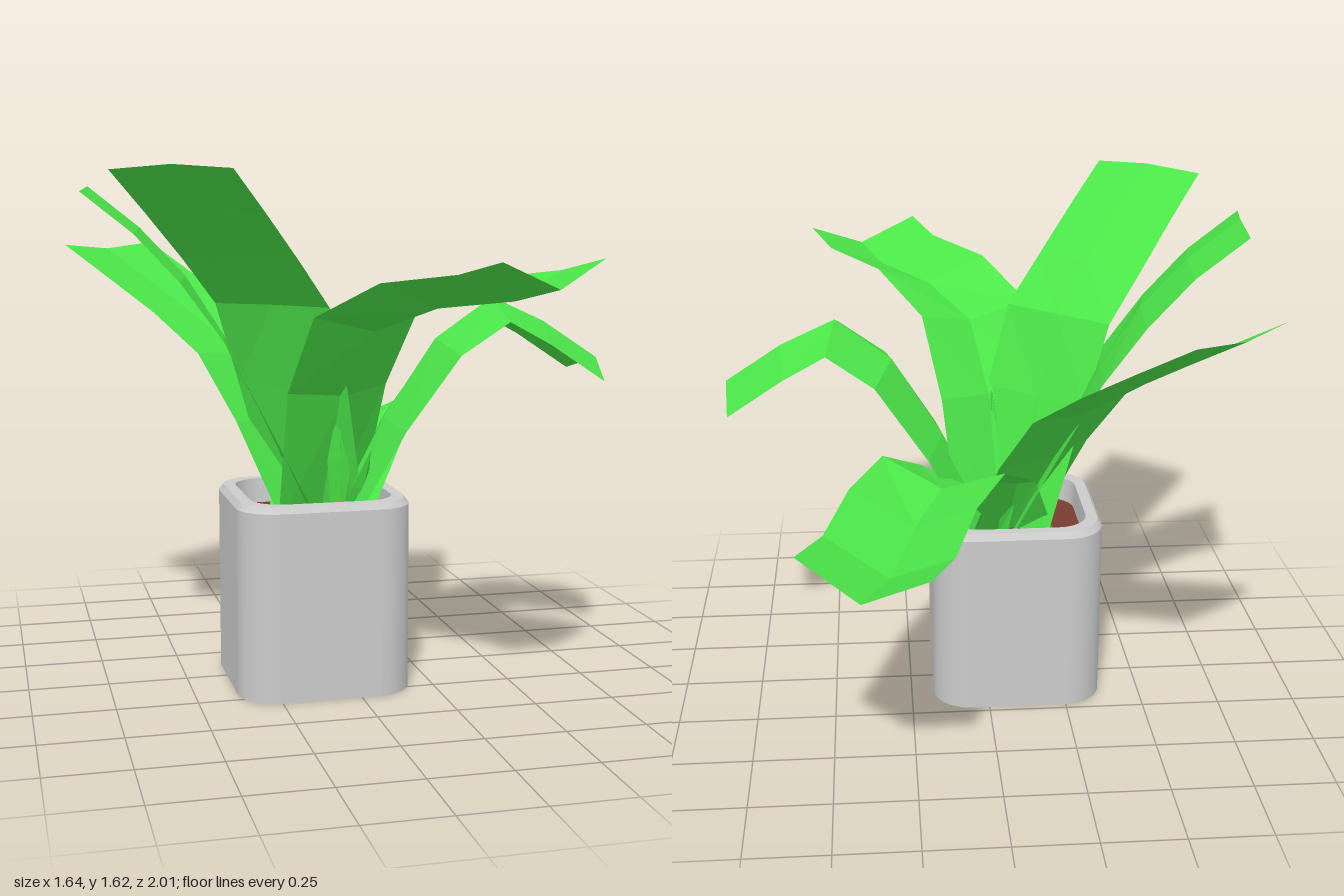
import * as THREE from 'three';
import { mergeGeometries } from 'three/addons/utils/BufferGeometryUtils.js';

const POT_X = -0.097, POT_Z = 0.045, HALF = 0.273, CORNER = 0.12;
const potMat = new THREE.MeshStandardMaterial({ color: 0xcccccc });
const soilMat = new THREE.MeshStandardMaterial({ color: 0x7a3b30 });
const leafMat = new THREE.MeshStandardMaterial({ color: 0x4ce649, flatShading: true, side: THREE.DoubleSide });

// Outline of a rounded square, as [x, z] pairs
function roundedSquare(half, r, steps = 8) {
  const pts = [], c = (half - r) * Math.SQRT2;
  for (let k = 0; k < 4; k++) {
    const mid = (k + 0.5) * Math.PI / 2;
    for (let i = 0; i <= steps; i++) {
      const a = (k + i / steps) * Math.PI / 2;
      pts.push([c * Math.sin(mid) + r * Math.sin(a), c * Math.cos(mid) + r * Math.cos(a)]);
    }
  }
  return pts;
}

// Sweeps the rounded square along a profile of [scale, y]; each band keeps its own normals
function squareLathe(profile) {
  const outline = roundedSquare(HALF, CORNER), n = outline.length, bands = [];
  for (let b = 0; b < profile.length - 1; b++) {
    const pos = [], index = [];
    for (const [s, y] of [profile[b], profile[b + 1]])
      for (const [x, z] of outline) pos.push(x * s, y, z * s);
    for (let j = 0; j < n; j++) {
      const k = (j + 1) % n;
      index.push(j, k, n + k, j, n + k, n + j);
    }
    const g = new THREE.BufferGeometry();
    g.setAttribute('position', new THREE.Float32BufferAttribute(pos, 3));
    g.setIndex(index);
    g.computeVertexNormals();
    bands.push(g);
  }
  return mergeGeometries(bands);
}

// Folded strip along a midrib: width tapers to the base, edges lift by the fold depth
function leafGeometry(midrib, halfWidth, foldBase, foldTip, taper) {
  const mid = midrib.map(p => new THREE.Vector3(...p));
  const last = mid.length - 1;
  const heading = mid[last].clone().sub(mid[0]).setY(0).normalize();
  const side = new THREE.Vector3(0, 1, 0).cross(heading);
  const pos = [], index = [];
  mid.forEach((p, i) => {
    const tangent = mid[Math.min(i + 1, last)].clone().sub(mid[Math.max(i - 1, 0)]).normalize();
    const lift = tangent.cross(side).normalize()
      .multiplyScalar(THREE.MathUtils.lerp(foldBase, foldTip, Math.min(1, i / 3)));
    const w = halfWidth * (taper[i] ?? 1);
    for (const s of [-1, 0, 1]) {
      const v = p.clone().addScaledVector(side, s * w);
      if (s) v.add(lift);
      pos.push(v.x, v.y, v.z);
    }
    if (i < last) for (const j of [0, 1]) {
      const a = i * 3 + j;
      index.push(a, a + 4, a + 1, a, a + 3, a + 4);
    }
  });
  const g = new THREE.BufferGeometry();
  g.setAttribute('position', new THREE.Float32BufferAttribute(pos, 3));
  g.setIndex(index);
  g.computeVertexNormals();
  return g;
}

export function createModel() {
  const model = new THREE.Group();
  const add = (name, geometry, material) => {
    const mesh = new THREE.Mesh(geometry, material);
    mesh.name = name;
    model.add(mesh);
    return mesh;
  };

  // Pot with a chamfered rim, and the soil inside
  add('pot', squareLathe([[0, 0], [1, 0], [1, 0.59], [0.95, 0.61], [0.82, 0.61], [0.8, 0.5]]), potMat)
    .position.set(POT_X, 0, POT_Z);
  add('soil', squareLathe([[0.81, 0.53], [0, 0.53]]), soilMat).position.set(POT_X, 0, POT_Z);

  // Large leaves: midrib from base to tip, then fold depth at the base and the tip
  const leaves = {
    backRightLeaf: [[[-0.07, 0.5, 0.04], [0.04, 0.71, -0.08], [0.15, 0.79, -0.27], [0.24, 0.75, -0.47], [0.32, 0.7, -0.71], [0.4, 0.73, -0.93]], 0.03, 0.1],
    sideLeaf: [[[-0.04, 0.5, 0.06], [0.13, 0.84, 0.08], [0.29, 1.09, 0.11], [0.47, 1.22, 0.13], [0.645, 1.14, 0.13], [0.825, 1.02, 0.14]], -0.03, -0.065],
    frontRightLeaf: [[[-0.06, 0.5, 0.04], [-0.03, 0.93, 0.22], [0.02, 1.14, 0.38], [0.15, 1.22, 0.58], [0.31, 1.25, 0.77], [0.38, 1.29, 0.93]], 0.02, 0.08],
    frontLeftLeaf: [[[-0.08, 0.5, 0.04], [-0.18, 0.95, 0.12], [-0.25, 1.21, 0.18], [-0.36, 1.36, 0.29], [-0.49, 1.5, 0.46], [-0.605, 1.62, 0.605]], 0.02, -0.015],
    leftLeaf: [[[-0.09, 0.5, 0.03], [-0.25, 0.85, 0], [-0.36, 1.1, -0.04], [-0.48, 1.29, -0.05], [-0.62, 1.44, -0.05], [-0.775, 1.565, -0.065]], 0.02, -0.02],
    backLeftLeaf: [[[-0.09, 0.5, 0.05], [-0.19, 0.82, -0.12], [-0.28, 1.02, -0.27], [-0.4, 1.14, -0.41], [-0.535, 1.25, -0.54], [-0.665, 1.355, -0.67]], 0.02, 0.02],
  };
  for (const [name, [midrib, foldBase, foldTip]] of Object.entries(leaves))
    add(name, leafGeometry(midrib, 0.203, foldBase, foldTip, [0.82, 0.97]), leafMat);

  // Slim young shoots in the middle
  const shoots = [[-0.04, 0.94, 0.21], [0.06, 0.76, 0.2], [-0.12, 0.8, -0.1]];
  for (const [x, y, z] of shoots) {
    const base = [x * 0.5 - 0.01, 0.5, z * 0.5 + 0.04];
    const middle = [(x + base[0]) / 2, (y + 0.5) / 2, (z + base[2]) / 2];
    add('youngShoot', leafGeometry([base, middle, [x, y, z]], 0.04, 0.02, 0, [0.6, 1, 0.05]), leafMat);
  }
  return model;
}
